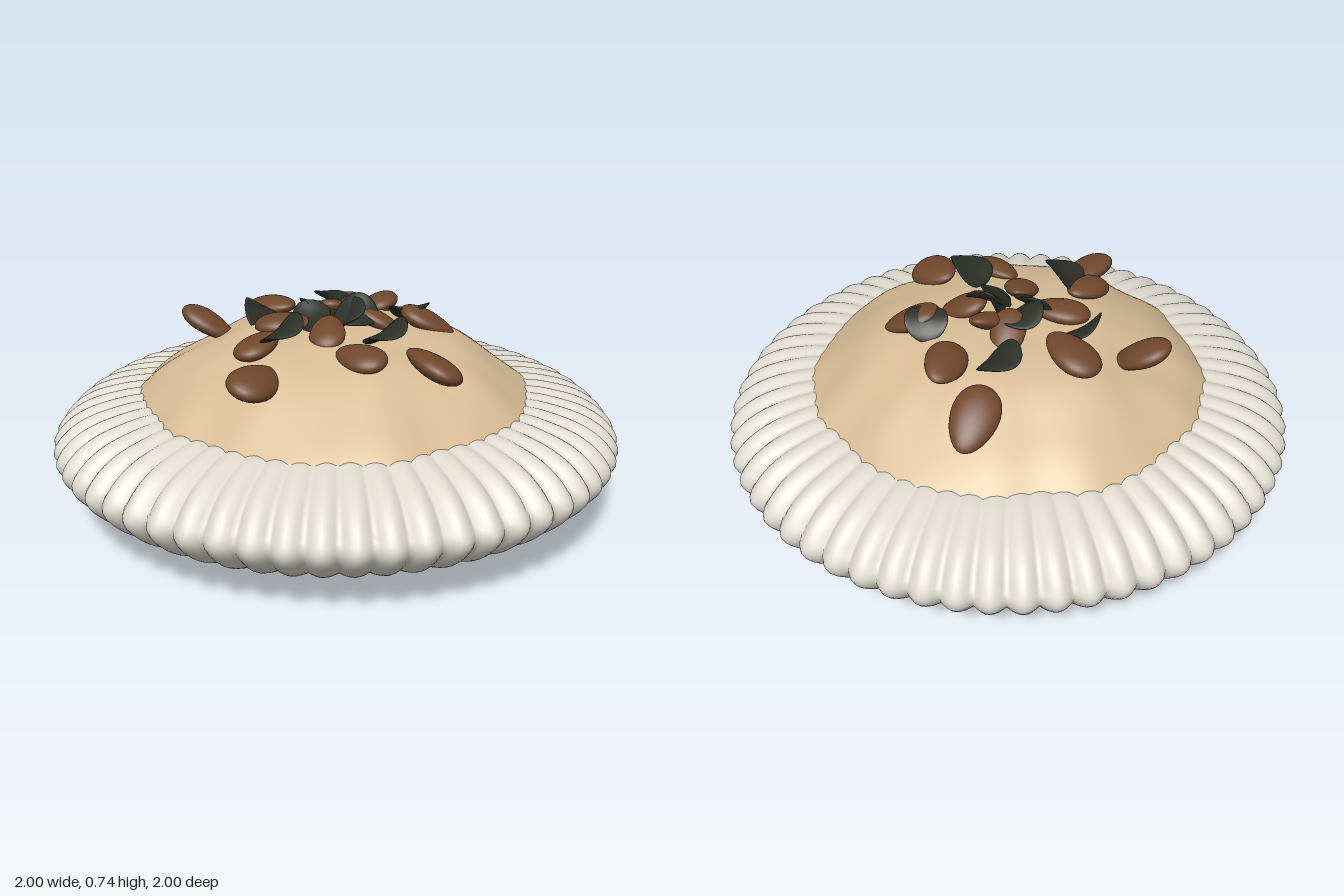
import * as THREE from 'three';
import { mergeVertices } from 'three/addons/utils/BufferGeometryUtils.js';

const mat = (name, color) => {
  const m = new THREE.MeshStandardMaterial({ color });
  m.name = name;
  return m;
};

// Move every vertex by a rule, weld the seams and smooth the result
function reshape(geometry, rule) {
  const p = geometry.attributes.position;
  const v = new THREE.Vector3();
  for (let i = 0; i < p.count; i++) {
    rule(v.fromBufferAttribute(p, i));
    p.setXYZ(i, v.x, v.y, v.z);
  }
  geometry.deleteAttribute('uv');
  geometry.deleteAttribute('normal');
  const welded = mergeVertices(geometry, 1e-5);
  welded.computeVertexNormals();
  return welded;
}

// Height of the filling at distance r from the middle
const fillHeight = (r) => 0.41 + 0.235 * (1 - Math.pow(r / 0.69, 2.6));

// Fluted dish: a lathe whose radius ripples around the rim
function dishGeometry() {
  const profile = new THREE.SplineCurve([
    [0, 0.005], [0.25, 0.02], [0.5, 0.043], [0.7, 0.07], [0.85, 0.115], [0.94, 0.175], [0.995, 0.25],
    [0.96, 0.315], [0.89, 0.365], [0.8, 0.395], [0.69, 0.412], [0.55, 0.4], [0.3, 0.38], [0, 0.38],
  ].map(([x, y]) => new THREE.Vector2(x, y))).getPoints(48);
  profile[0].x = profile[48].x = 0;
  return reshape(new THREE.LatheGeometry(profile, 480), (v) => {
    const r = Math.hypot(v.x, v.z);
    const flute = Math.abs(Math.sin(Math.atan2(v.z, v.x) * 30)) - 0.85;
    const fade = THREE.MathUtils.smoothstep(r, 0.4, 0.95);
    const k = 1 + 0.032 * flute * fade;
    v.x *= k;
    v.z *= k;
    if (v.y > 0.3) v.y += 0.012 * flute * fade;
  });
}

// Soft mound with gentle lumps
function moundGeometry() {
  const profile = [];
  for (let i = 0; i <= 40; i++) {
    const r = 0.73 * (1 - i / 40);
    profile.push(new THREE.Vector2(r, fillHeight(r)));
  }
  return reshape(new THREE.LatheGeometry(profile, 120), (v) => {
    const r = Math.hypot(v.x, v.z);
    const a = Math.atan2(v.z, v.x);
    const edge = 1 + 0.012 * Math.sin(3 * a + 1) + 0.008 * Math.sin(7 * a) + 0.005 * Math.sin(17 * a);
    v.y += 0.008 * Math.sin(9 * v.x + 2 * Math.sin(6 * v.z)) * Math.cos(10 * v.z + 1)
      + 0.006 * Math.sin(16 * v.x + 9 * v.z) * Math.min(1, r * 3);
    v.x *= edge;
    v.z *= edge;
  });
}

// Almond: flattened, slightly pointed ellipsoid, long along x
const almondGeometry = () => reshape(new THREE.SphereGeometry(1, 28, 18), (v) => {
  const taper = 1 - 0.18 * v.x;
  v.set(v.x * 0.115, v.y * 0.038 * taper, v.z * 0.076 * taper);
});

// Thin round chip, bent like a saddle
const chipGeometry = () => reshape(new THREE.SphereGeometry(1, 28, 14), (v) => {
  const bend = 0.022 * (v.x * v.x - 0.8 * v.z * v.z);
  v.set(v.x * 0.083, v.y * 0.013 + bend, v.z * 0.08);
});

// x, z, heading in degrees (counter-clockwise from above), normal x, normal z, lift, scale
const almonds = [
  [-0.29, -0.39, -50, 0.35, 0.35, 0.05, 0.95],
  [-0.06, -0.32, -82, -0.1, -0.15, 0.03, 1],
  [0.34, -0.38, 42, 0.25, -0.5, 0.03, 1.03],
  [0.32, -0.15, 45, -0.2, -0.2, 0.03, 0.92],
  [-0.16, -0.09, -40, -0.1, 0, 0.01, 0.9],
  [-0.34, 0.02, 20, -0.2, 0, 0.02, 0.85],
  [-0.465, 0.2, 28, 0.12, 0.28, 0.035, 1.02],
  [-0.13, 0.31, 100, -0.25, 0.1, 0.01, 0.86],
  [0.06, 0.45, 97, 0.35, 0.2, 0.025, 1],
  [0.3, 0.145, -40, 0.3, 0.3, 0.02, 0.92],
  [-0.11, 0.1, 50, -0.3, 0.2, 0.01, 0.8],
  [0.12, 0.1, -50, 0.4, 0.2, 0.01, 0.8],
  [0.07, -0.12, 50, 0.3, -0.4, 0.01, 0.8],
  [0.1, -0.04, 30, -0.3, 0.4, 0.02, 0.8],
];
const chips = [
  [-0.17, -0.23, -30, 0.3, 0.75, 0.03, 0.9],
  [0.17, -0.24, 20, 0.33, 0.3, 0.03, 1],
  [0, -0.09, 0, 0.2, 0.2, 0.035, 1],
  [-0.09, -0.03, 70, -0.9, 0.2, 0.02, 0.95],
  [-0.28, 0.08, 10, -0.45, -0.3, 0.06, 1],
  [0.04, 0.06, 40, -0.4, 0.3, 0.04, 1],
  [0.02, 0.05, 20, -0.9, -0.5, 0.03, 0.9],
  [0.28, 0.07, -30, 0.2, -0.45, 0.035, 0.9],
  [-0.005, 0.285, 0, -0.3, -0.35, 0.05, 1],
];

// Lay pieces on the mound, each turned to its heading and tilted to its normal
function scatter(name, list, geometry, material) {
  const group = new THREE.Group();
  group.name = name + 's';
  list.forEach(([x, z, deg, nx, nz, lift, scale], i) => {
    const mesh = new THREE.Mesh(geometry, material);
    mesh.name = `${name}${i + 1}`;
    const up = new THREE.Vector3(nx, 0.9, nz).normalize();
    const tilt = new THREE.Quaternion().setFromUnitVectors(new THREE.Vector3(0, 1, 0), up);
    const turn = new THREE.Quaternion().setFromAxisAngle(new THREE.Vector3(0, 1, 0), THREE.MathUtils.degToRad(deg));
    mesh.quaternion.copy(tilt.multiply(turn));
    mesh.position.set(x, fillHeight(Math.hypot(x, z)) + lift, z);
    mesh.scale.setScalar(scale);
    group.add(mesh);
  });
  return group;
}

export function createModel() {
  const model = new THREE.Group();
  model.name = 'toppedPudding';

  const dish = new THREE.Mesh(dishGeometry(), mat('porcelain', 0xe0dcd0));
  dish.name = 'flutedDish';
  const mound = new THREE.Mesh(moundGeometry(), mat('cream filling', 0xd8bd95));
  mound.name = 'filling';

  model.add(dish, mound);
  model.add(scatter('almond', almonds, almondGeometry(), mat('almond brown', 0x70482c)));
  model.add(scatter('chip', chips, chipGeometry(), mat('dark green', 0x2b2f26)));
  return model;
}
